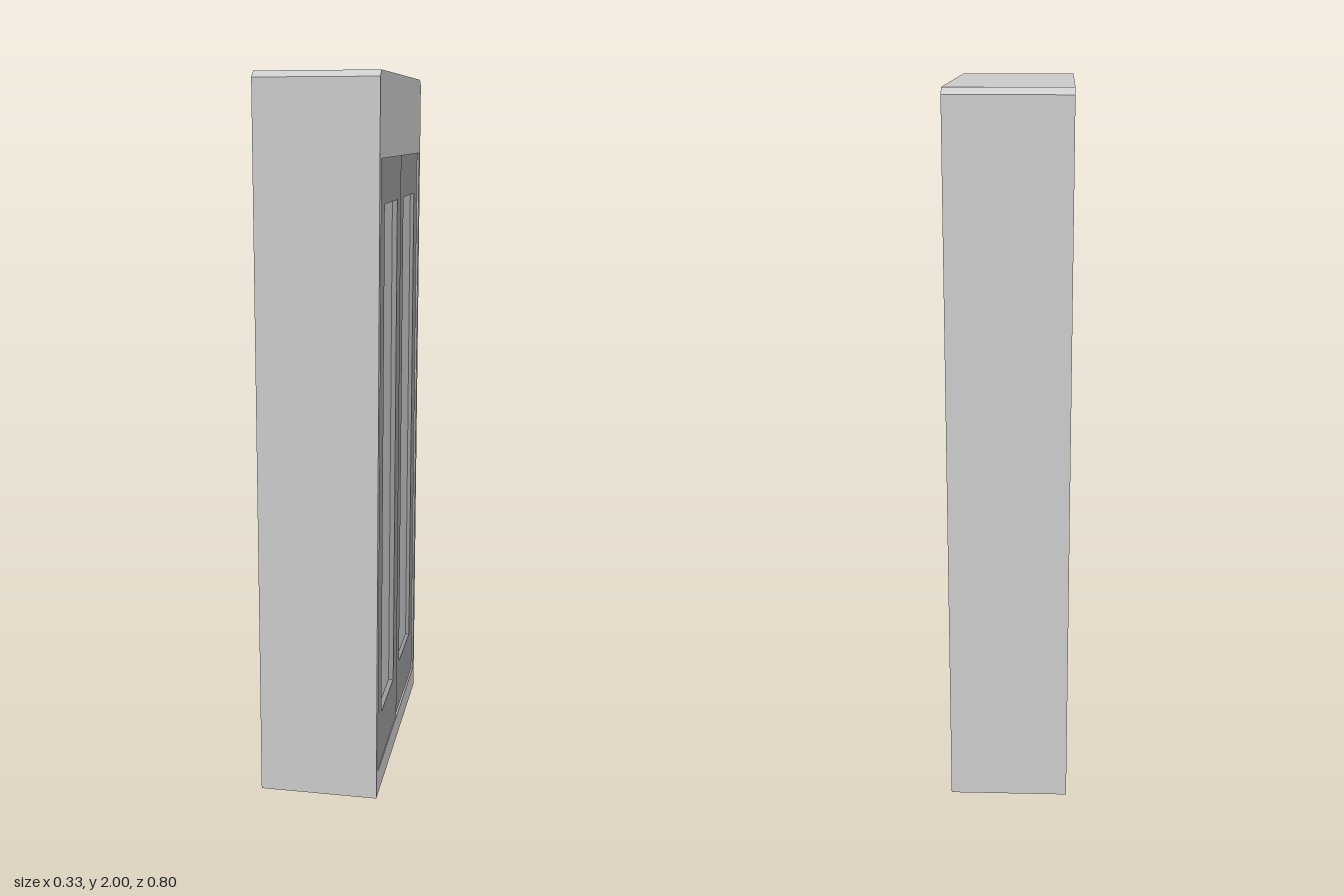
import * as THREE from 'three';

const W = 0.167;        // half thickness of the cabinet (x)
const D = 0.4;          // half depth (z)
const RECESS = 0.016;   // depth of the door opening
const DOOR = { bottom: 0.07, top: 1.78, width: 0.373 };
const PANEL = { bottom: 0.22, top: 1.66, inner: 0.072, outer: 0.302 };

const bodyMaterial = new THREE.MeshStandardMaterial({ color: 0xcccccc, flatShading: true });
const doorMaterial = new THREE.MeshStandardMaterial({ color: 0x9b9b9b, flatShading: true });

// Outline in the side plane; shape x runs towards -z
function rect(Type, x0, x1, y0, y1) {
  return new Type([[x0, y0], [x1, y0], [x1, y1], [x0, y1]].map(([x, y]) => new THREE.Vector2(x, y)));
}

// Side outline with small bevels on the two top edges
function cabinetOutline() {
  return new THREE.Shape([
    [-D, 0], [D, 0], [D, 1.983], [D - 0.022, 2], [-D + 0.022, 2], [-D, 1.983],
  ].map(([x, y]) => new THREE.Vector2(x, y)));
}

// Extrude a side outline along x, from x0 to x1
function slab(name, shape, x0, x1, material) {
  const geometry = new THREE.ExtrudeGeometry(shape, { depth: x1 - x0, bevelEnabled: false });
  geometry.rotateY(Math.PI / 2).translate(x0, 0, 0);
  const mesh = new THREE.Mesh(geometry, material);
  mesh.name = name;
  return mesh;
}

export function createModel() {
  const group = new THREE.Group();
  group.name = 'cabinet';

  // Solid core, whose face also shows as the sunken door panels
  group.add(slab('cabinetBody', cabinetOutline(), -W, W - RECESS, bodyMaterial));

  // Surround with the opening for the doors
  const surround = cabinetOutline();
  surround.holes.push(rect(THREE.Path, -DOOR.width, DOOR.width, DOOR.bottom, DOOR.top));
  group.add(slab('doorSurround', surround, W - RECESS, W, bodyMaterial));

  // Two door frames, the rear one set slightly deeper
  for (const [name, side, inset] of [['frontDoor', -1, 0.002], ['rearDoor', 1, 0.005]]) {
    const span = (a, b) => [side * a, side * b].sort((p, q) => p - q);
    const frame = rect(THREE.Shape, ...span(0, DOOR.width), DOOR.bottom, DOOR.top);
    frame.holes.push(rect(THREE.Path, ...span(PANEL.inner, PANEL.outer), PANEL.bottom, PANEL.top));
    group.add(slab(name, frame, W - RECESS, W - inset, doorMaterial));
  }

  return group;
}
